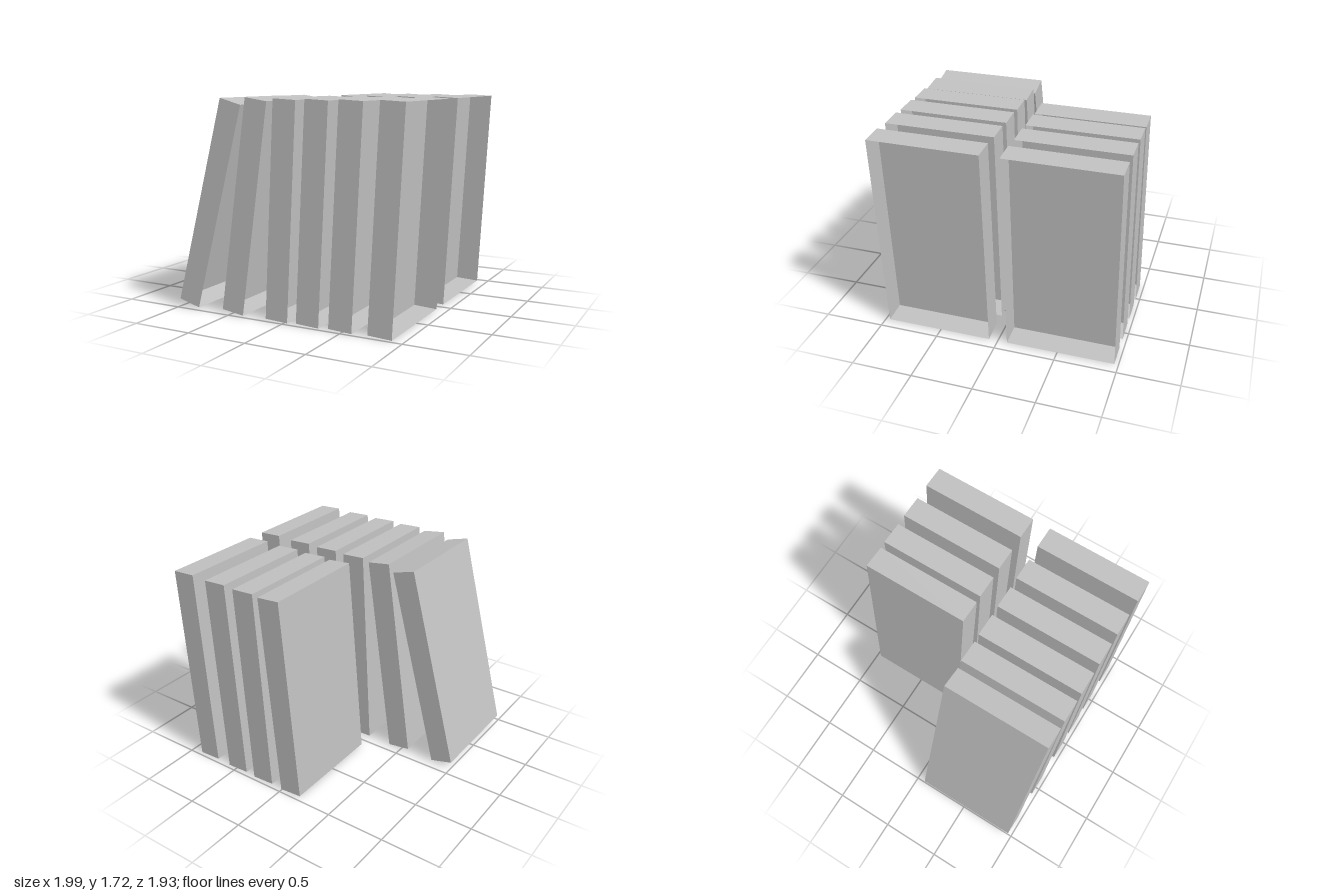
import * as THREE from 'three';

const WIDTH = 0.195, HEIGHT = 1.706, DEPTH = 0.889, ROW_Z = 0.522;

// [x of the bottom right corner, its y, lean to the right in degrees]
const UPRIGHT = [
  [0.905, 0, 3],
  [0.58, 0, 3],
];
const FRONT_ROW = [
  ...UPRIGHT,
  [0.3, 0, 3],
  [0.027, 0, 3],
  [-0.381, 0.003, 8.3],
  [-0.812, 0.013, 15],
];
const BACK_ROW = [
  ...UPRIGHT,
  [0.3, 0, 3],
  [0.007, 0, 4.6],
];

// Thin-walled book case, open on its right side, pivoting on its bottom right edge
function makeBookGeometry() {
  const geometry = new THREE.BoxGeometry(WIDTH, HEIGHT, DEPTH);
  geometry.translate(-WIDTH / 2, HEIGHT / 2, 0);
  geometry.setIndex(Array.from(geometry.index.array).slice(6)); // drop the +x side
  geometry.clearGroups();
  return geometry;
}

export function createModel() {
  const model = new THREE.Group();
  model.name = 'leaningBooks';
  const grey = new THREE.MeshStandardMaterial({ color: 0xc0c0c0, side: THREE.DoubleSide });
  grey.name = 'plainGrey';
  const geometry = makeBookGeometry();

  // One row of leaning books
  const addRow = (name, books, z) => {
    const row = new THREE.Group();
    row.name = name;
    row.position.z = z;
    books.forEach(([x, y, lean], i) => {
      const book = new THREE.Mesh(geometry, grey);
      book.name = `${name}Book${i + 1}`;
      book.position.set(x, y, 0);
      book.rotation.z = -THREE.MathUtils.degToRad(lean);
      row.add(book);
    });
    model.add(row);
  };
  addRow('frontRow', FRONT_ROW, ROW_Z);
  addRow('backRow', BACK_ROW, -ROW_Z);
  return model;
}
